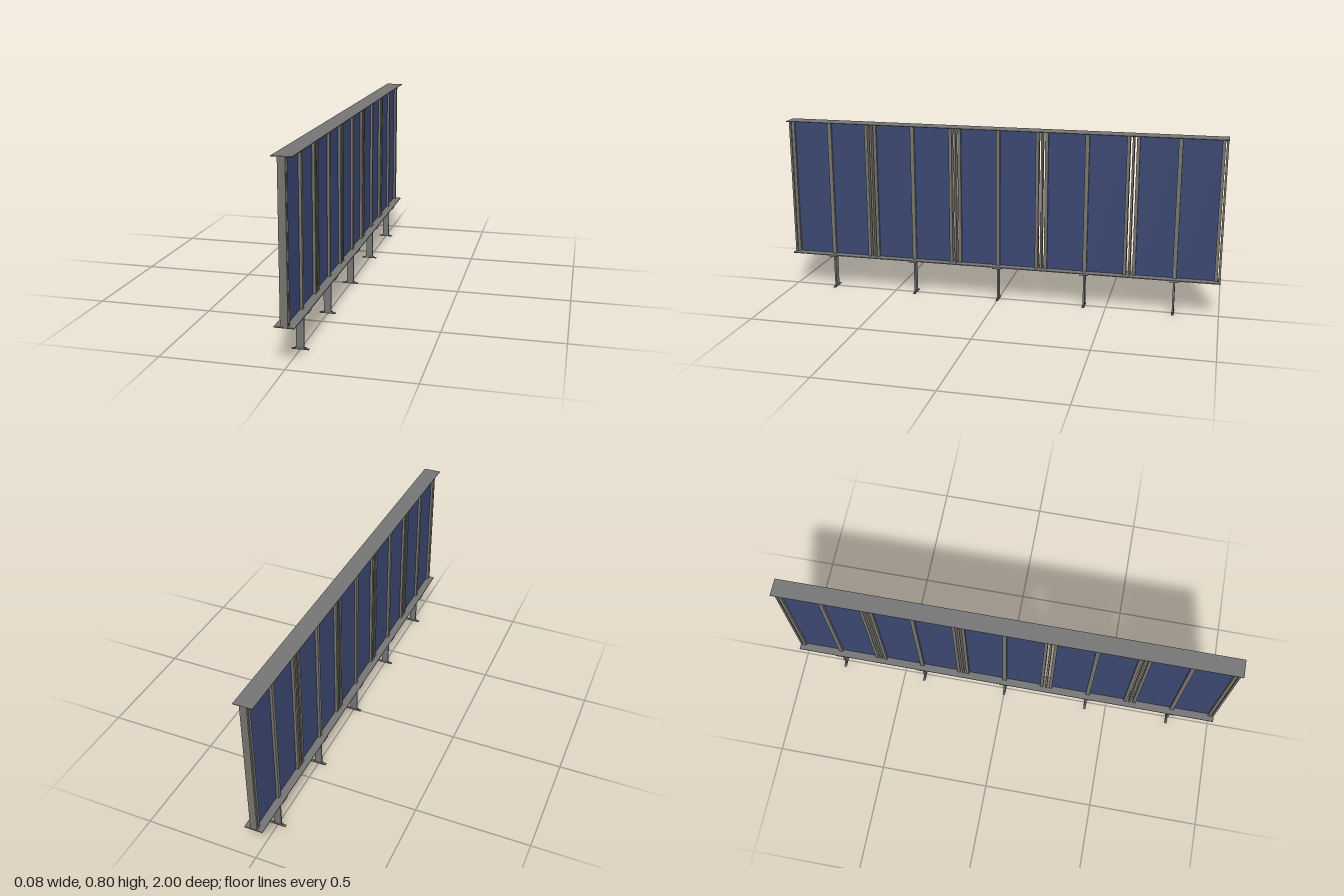
import * as THREE from 'three';

export function createModel() {
  const model = new THREE.Group();
  model.name = 'panelBarrier';

  const steel = new THREE.MeshStandardMaterial({ color: 0x747474 });
  steel.name = 'grey steel';
  const frame = new THREE.MeshStandardMaterial({ color: 0x75736d });
  frame.name = 'warm grey frame';
  const blue = new THREE.MeshStandardMaterial({ color: 0x3a4670 });
  blue.name = 'blue panel';

  const railY = 0.166, topY = 0.797;
  const midY = (railY + topY) / 2, height = topY - railY;

  function box(name, material, w, h, d, x, y, z, parent = model) {
    const mesh = new THREE.Mesh(new THREE.BoxGeometry(w, h, d), material);
    mesh.name = name;
    mesh.position.set(x, y, z);
    parent.add(mesh);
    return mesh;
  }

  // Continuous flat rails along the top and bottom
  box('topRail', steel, 0.08, 0.003, 2, 0, 0.7985, 0);
  box('bottomRail', steel, 0.08, 0.004, 2, 0, 0.164, 0);

  // Five identical bays, each carried by one flat post
  for (let i = 0; i < 5; i++) {
    const bay = new THREE.Group();
    bay.name = 'bay';
    bay.position.z = 0.8 - i * 0.4;
    model.add(bay);

    // Post with its head bracket and stepped foot
    box('post', steel, 0.032, 0.15, 0.008, 0, 0.082, 0, bay);
    box('headBracket', steel, 0.08, 0.006, 0.04, 0, 0.159, 0, bay);
    box('footPlate', steel, 0.07, 0.003, 0.012, 0, 0.0015, 0, bay);
    box('footWeld', steel, 0.044, 0.005, 0.01, 0, 0.0055, 0, bay);

    // Centre mullion, with a panel and an edge stile on either side
    box('centreMullion', frame, 0.03, height, 0.018, -0.001, midY, 0, bay);
    for (const s of [-1, 1]) {
      box('panel', blue, 0.008, height, 0.164, -0.001, midY, s * 0.091, bay);
      box('edgeStile', frame, 0.03, height, 0.014, -0.001, midY, s * 0.179, bay);
    }
  }

  // Slim fins standing in the gaps between bays and at both ends
  for (let i = 0; i < 6; i++) {
    const z = THREE.MathUtils.clamp(1 - i * 0.4, -0.994, 0.994);
    box('gapFin', frame, 0.03, height, 0.009, -0.001, midY, z);
  }

  return model;
}
